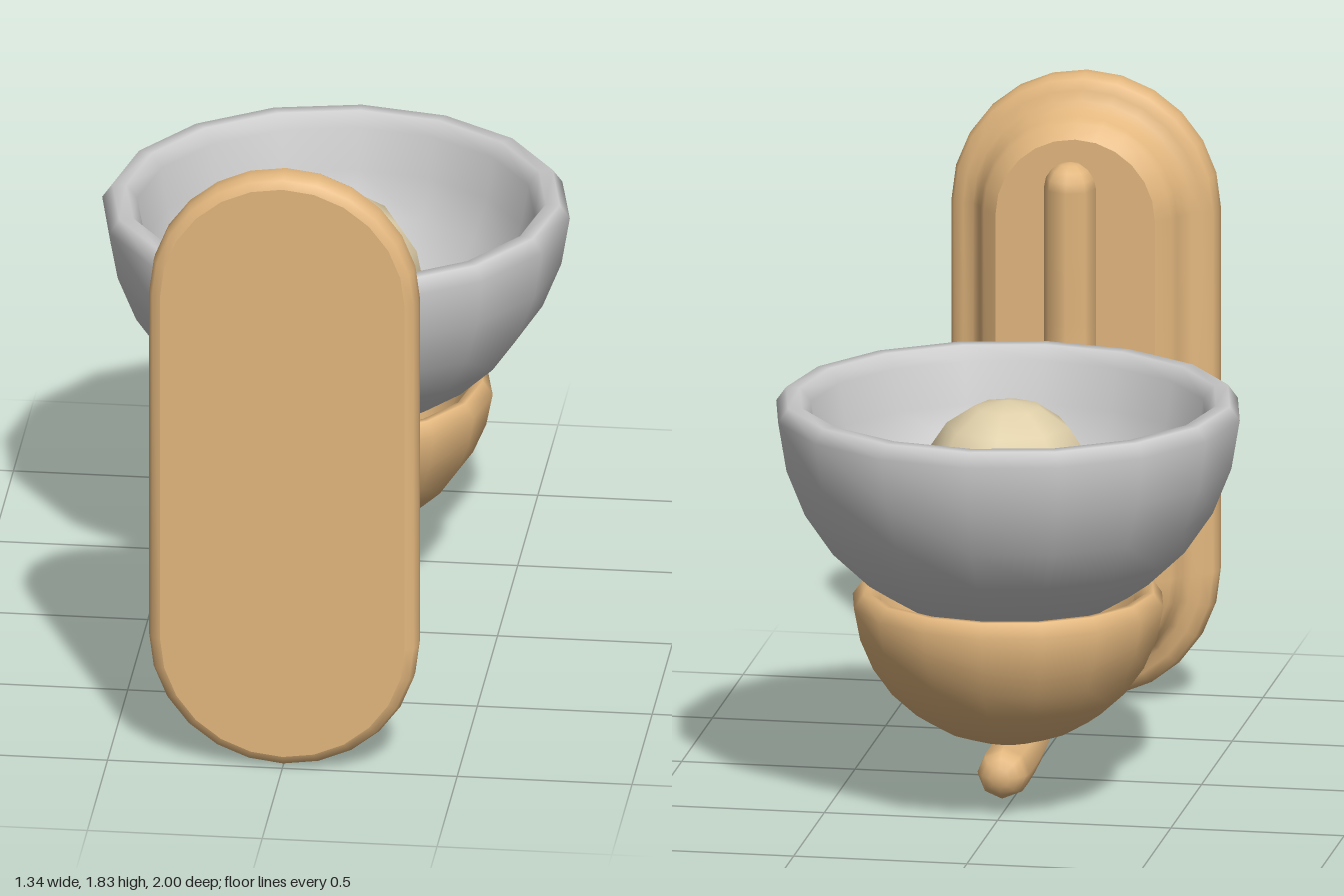
import * as THREE from 'three';

const wood = new THREE.MeshStandardMaterial({ color: 0xe3b77e });
const grey = new THREE.MeshStandardMaterial({ color: 0xcccccc });
const pale = new THREE.MeshStandardMaterial({ color: 0xe0d0aa });
const BOWL_Z = -0.33;

function part(name, geometry, material, x = 0, y = 0, z = 0) {
  const mesh = new THREE.Mesh(geometry, material);
  mesh.name = name;
  mesh.position.set(x, y, z);
  return mesh;
}

// Stadium outline, anticlockwise seen from +z
function stadium(r, half = 0.53, n = 12) {
  const pts = [];
  for (const s of [1, -1]) {
    for (let i = 0; i <= n; i++) {
      const a = (i / n) * Math.PI;
      pts.push(new THREE.Vector2(s * r * Math.cos(a), s * (half + r * Math.sin(a))));
    }
  }
  return pts;
}

// Moulded wall plate: stadium outlines lofted along z, with flat faces
function createPlate() {
  const profile = [[0.35, 1], [0.374, 0.99], [0.385, 0.965], [0.385, 0.925], [0.374, 0.9], [0.345, 0.885],
    [0.315, 0.88], [0.295, 0.855], [0.283, 0.825], [0.27, 0.8], [0.23, 0.765]];
  const pos = [], idx = [];
  const n = stadium(1).length;
  profile.forEach(([r, z], j) => {
    stadium(r).forEach((p, i) => {
      pos.push(p.x, p.y, z);
      if (j === profile.length - 1) return;
      const a = j * n + i, b = j * n + (i + 1) % n;
      idx.push(a, a + n, b, b, a + n, b + n);
    });
  });
  const side = new THREE.BufferGeometry();
  side.setAttribute('position', new THREE.Float32BufferAttribute(pos, 3));
  side.setIndex(idx);
  side.computeVertexNormals();

  const plate = new THREE.Group();
  plate.name = 'wallPlate';
  plate.position.y = 0.915;
  plate.add(part('plateEdge', side, wood));
  const face = (r) => new THREE.ShapeGeometry(new THREE.Shape(stadium(r)));
  plate.add(part('plateBackFace', face(0.35), wood, 0, 0, 1));
  plate.add(part('plateInnerFace', face(0.23).rotateY(Math.PI), wood, 0, 0, 0.765));
  return plate;
}

// Hemispherical bowl with a thick bevelled rim; its rim lies at y = 0
function bowlGeometry(R, thickness) {
  const pts = [], inner = R - thickness, bevel = 0.04, n = 7;
  for (let i = 0; i <= n; i++) {
    const a = (i / n) * (Math.PI / 2 - bevel / R);
    pts.push(new THREE.Vector2(R * Math.sin(a), -R * Math.cos(a)));
  }
  pts.push(new THREE.Vector2(R - 0.03, 0), new THREE.Vector2(inner + 0.03, 0));
  for (let i = n; i >= 0; i--) {
    const a = (i / n) * (Math.PI / 2 - bevel / inner);
    pts.push(new THREE.Vector2(inner * Math.sin(a), -inner * Math.cos(a)));
  }
  return new THREE.LatheGeometry(pts, 16);
}

// Curved arm with rounded ends
function createArm() {
  const path = [[1.555, 0.68], [1.3, 0.68], [1.08, 0.68], [0.88, 0.665], [0.69, 0.615], [0.53, 0.53], [0.385, 0.415],
    [0.265, 0.26], [0.18, 0.1], [0.13, -0.08], [0.115, -0.26], [0.115, -0.4]]
    .map(([y, z]) => new THREE.Vector3(0, y, z));
  const r = 0.075;
  const arm = new THREE.Group();
  arm.name = 'arm';
  arm.add(part('armTube', new THREE.TubeGeometry(new THREE.CatmullRomCurve3(path), 22, r, 8), wood));
  const cap = () => new THREE.SphereGeometry(r, 8, 4, 0, Math.PI * 2, 0, Math.PI / 2);
  arm.add(part('armTopEnd', cap(), wood, 0, 1.555, 0.68));
  arm.add(part('armLowerEnd', cap().rotateX(-Math.PI / 2), wood, 0, 0.115, -0.4));
  return arm;
}

export function createModel() {
  const model = new THREE.Group();
  model.name = 'wallLamp';
  model.add(createPlate(), createArm());
  model.add(part('cup', bowlGeometry(0.45, 0.08), wood, 0, 0.642, BOWL_Z));
  model.add(part('shade', bowlGeometry(0.67, 0.1), grey, 0, 1.2, BOWL_Z));
  model.add(part('bulb', new THREE.SphereGeometry(0.25, 8, 8), pale, 0, 0.94, BOWL_Z));
  return model;
}
